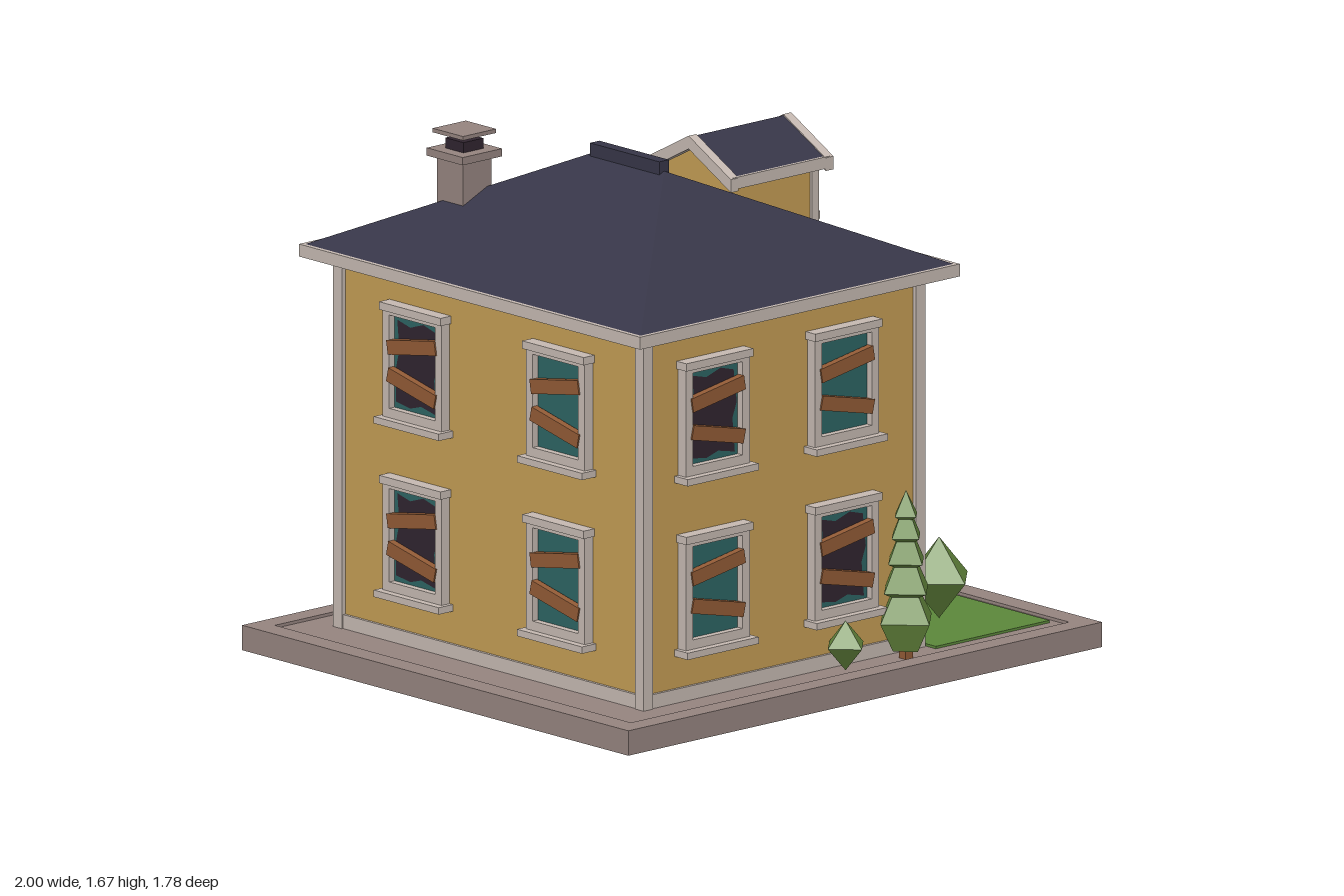
import * as THREE from 'three';
import { ConvexGeometry } from 'three/addons/geometries/ConvexGeometry.js';

const mat = (name, color) => Object.assign(new THREE.MeshStandardMaterial({ color }), { name });
const M = {
  wall: mat('ochreWall', 0xc49d54), trim: mat('paleTrim', 0xc6bab2), roof: mat('slateRoof', 0x373648),
  stone: mat('stone', 0x968580), brick: mat('redBrick', 0x8f413b), glass: mat('tealGlass', 0x2d6463),
  dark: mat('darkInterior', 0x30242f), wood: mat('plankWood', 0x925b36),
  leaf: mat('foliage', 0x678a3f), grass: mat('grass', 0x5c883b),
};

export function createModel() {
  const root = new THREE.Group();
  root.name = 'house';

  const add = (parent, name, geo, material) => {
    const mesh = new THREE.Mesh(geo, material);
    mesh.name = name;
    parent.add(mesh);
    return mesh;
  };
  // Box given by its extents on each axis
  const box = (name, material, x0, x1, y0, y1, z0, z1, parent = root) => {
    const mesh = add(parent, name, new THREE.BoxGeometry(x1 - x0, y1 - y0, z1 - z0), material);
    mesh.position.set((x0 + x1) / 2, (y0 + y1) / 2, (z0 + z1) / 2);
    return mesh;
  };
  const shape = (pts) => new THREE.Shape(pts.map(([x, y]) => new THREE.Vector2(x, y)));
  // Outline drawn across z and y, extruded along x
  const alongX = (name, material, pts, x0, x1) => {
    const geo = new THREE.ExtrudeGeometry(shape(pts), { depth: x1 - x0, bevelEnabled: false });
    geo.rotateY(Math.PI / 2).translate(x0, 0, 0);
    return add(root, name, geo, material);
  };
  const chevron = (h, apex, eave, t) =>
    [[0, apex], [-h, eave], [-h, eave - t], [0, apex - t], [h, eave - t], [h, eave]];
  const sides = [-1, 1];

  // Ground slab with a raised border, lawns
  box('groundSlab', M.stone, -1, 1, 0, 0.07, -0.89, 0.89);
  for (const s of sides) {
    box('slabBorderSide', M.stone, Math.min(s, s * 0.925), Math.max(s, s * 0.925), 0.07, 0.08, -0.89, 0.89);
    box('slabBorderEnd', M.stone, -0.925, 0.925, 0.07, 0.08, s * 0.855 - 0.035, s * 0.855 + 0.035);
    box('lawn', M.grass, 0.42, 0.9, 0.07, 0.078, s * 0.522 - 0.235, s * 0.522 + 0.235);
  }

  // Main walls, plinth and corner boards
  box('walls', M.wall, -0.76, 0.4, 0.07, 1.285, -0.7, 0.7);
  box('plinth', M.trim, -0.77, 0.41, 0.07, 0.115, -0.71, 0.71);
  for (const x of [-0.755, 0.395]) for (const s of sides)
    box('cornerBoard', M.trim, x - 0.02, x + 0.02, 0.07, 1.275, s * 0.695 - 0.02, s * 0.695 + 0.02);

  // Hipped roof with fascia boards and a ridge cap
  const cx = -0.18;
  const hip = [];
  for (const s of sides) {
    for (const y of [1.28, 1.3]) hip.push(new THREE.Vector3(cx - 0.66, y, s * 0.772), new THREE.Vector3(cx + 0.66, y, s * 0.772));
    hip.push(new THREE.Vector3(cx, 1.597, s * 0.16));
  }
  add(root, 'mainRoof', new ConvexGeometry(hip), M.roof);
  box('ridgeCap', M.roof, cx - 0.02, cx + 0.02, 1.56, 1.63, -0.16, 0.16);
  for (const s of sides) {
    box('fasciaLong', M.trim, cx - 0.675, cx + 0.675, 1.26, 1.3, s * 0.774 - 0.012, s * 0.774 + 0.012);
    box('fasciaShort', M.trim, cx + s * 0.663 - 0.012, cx + s * 0.663 + 0.012, 1.26, 1.3, -0.762, 0.762);
  }

  // Chimney
  const slab = (name, m, r, y0, y1) => box(name, m, -0.467 - r, -0.467 + r, y0, y1, -0.447 - r, -0.447 + r);
  slab('chimneyStack', M.stone, 0.06, 1.3, 1.58);
  slab('chimneyCollar', M.stone, 0.083, 1.58, 1.605);
  slab('chimneyFlue', M.dark, 0.042, 1.605, 1.638);
  slab('chimneyCapPost', M.stone, 0.012, 1.638, 1.655);
  slab('chimneyCap', M.stone, 0.07, 1.655, 1.668);

  // Boarded window, built facing +z with its centre on the wall
  const hole = [[-0.095, -0.13], [-0.03, -0.14], [0.02, -0.125], [0.09, -0.14], [0.08, -0.03], [0.098, 0.02],
    [0.085, 0.125], [0.03, 0.14], [-0.03, 0.12], [-0.09, 0.135], [-0.08, 0.04], [-0.098, -0.03]];
  const addWindow = (x, y, z, turn, broken) => {
    const g = new THREE.Group();
    g.name = 'window';
    g.position.set(x, y, z);
    g.rotation.y = turn;
    root.add(g);
    box('glass', M.glass, -0.108, 0.108, -0.155, 0.155, 0, 0.012, g);
    if (broken) add(g, 'brokenHole', new THREE.ShapeGeometry(shape(hole)), M.dark).position.z = 0.015;
    for (const s of sides) box('jamb', M.trim, s * 0.12 - 0.015, s * 0.12 + 0.015, -0.18, 0.165, 0, 0.035, g);
    box('topRail', M.trim, -0.105, 0.105, 0.15, 0.165, 0, 0.035, g);
    box('bottomRail', M.trim, -0.105, 0.105, -0.18, -0.15, 0, 0.035, g);
    box('header', M.trim, -0.142, 0.142, 0.163, 0.188, 0, 0.045, g);
    box('sill', M.trim, -0.15, 0.15, -0.202, -0.18, 0, 0.06, g);
    for (const s of sides) {
      const plank = box('plank', M.wood, -0.112, 0.112, -0.023, 0.023, 0.016, 0.04, g);
      plank.position.y = s * 0.065;
      plank.rotation.z = s > 0 ? 0.17 : -0.22;
    }
    return g;
  };
  const up = 0.978, low = 0.42, q = Math.PI / 2;
  addWindow(-0.48, up, 0.7, 0, true);
  addWindow(0.065, up, 0.7, 0, false);
  addWindow(-0.48, low, 0.7, 0, false);
  addWindow(0.065, low, 0.7, 0, true);
  for (const x of [-0.48, 0.065]) {
    addWindow(x, up, -0.7, 2 * q, false);
    addWindow(x, low, -0.7, 2 * q, x < 0);
  }
  for (const s of sides) for (const y of [up, low]) {
    addWindow(-0.76, y, s * 0.33, -q, s < 0);
    const w = addWindow(0.4, y, s * 0.387, q, (s > 0) === (y === up));
    for (const k of sides) box('shutter', M.roof, k * 0.178 - 0.045, k * 0.178 + 0.045, -0.165, 0.16, 0, 0.022, w);
    // Row of small plants below the upper windows
    if (y === up) for (let i = -2; i <= 2; i++)
      add(w, 'sillPlant', new THREE.OctahedronGeometry(0.024), M.leaf).position.set(i * 0.041, -0.192, 0.062);
  }

  // Dormer: body, gabled roof, posts and window
  alongX('dormerBody', M.wall, [[-0.145, 1.27], [0.145, 1.27], [0.145, 1.525], [0, 1.6], [-0.145, 1.525]], 0.12, 0.468);
  alongX('dormerRoof', M.roof, chevron(0.185, 1.632, 1.534, 0.03), 0.08, 0.49);
  for (const x of [0.07, 0.47]) alongX('dormerRake', M.trim, chevron(0.195, 1.636, 1.532, 0.042), x, x + 0.033);
  for (const s of sides) {
    box('dormerEave', M.trim, 0.08, 0.49, 1.497, 1.535, s * 0.186 - 0.008, s * 0.186 + 0.008);
    box('dormerPost', M.trim, 0.45, 0.48, 1.3, 1.52, s * 0.14 - 0.014, s * 0.14 + 0.014);
    box('dormerJamb', M.trim, 0.46, 0.49, 1.335, 1.52, s * 0.083 - 0.015, s * 0.083 + 0.015);
  }
  box('dormerPane', M.dark, 0.46, 0.473, 1.33, 1.49, -0.07, 0.07);
  box('dormerHeader', M.trim, 0.46, 0.49, 1.488, 1.52, -0.07, 0.07);
  box('dormerSill', M.trim, 0.46, 0.523, 1.312, 1.337, -0.112, 0.112);
  box('dormerBase', M.trim, 0.46, 0.5, 1.297, 1.312, -0.15, 0.15);

  // Porch floor and steps
  box('porchFloor', M.brick, 0.4, 0.75, 0.07, 0.13, -0.225, 0.225);
  box('middleStep', M.brick, 0.75, 0.817, 0.07, 0.105, -0.192, 0.192);
  box('lowerStep', M.brick, 0.817, 0.892, 0.07, 0.084, -0.192, 0.192);

  // Porch roof with a clapboard gable
  alongX('porchRoof', M.roof, chevron(0.295, 0.84, 0.69, 0.03), 0.4, 0.72);
  alongX('porchRake', M.trim, chevron(0.305, 0.844, 0.687, 0.04), 0.7, 0.74);
  alongX('porchGable', M.wall, [[-0.25, 0.655], [0.25, 0.655], [0.25, 0.683], [0, 0.815], [-0.25, 0.683]], 0.66, 0.68);
  [0.66, 0.695, 0.73, 0.765].forEach((y, i) => {
    const h = 0.225 - i * 0.058;
    box('clapboard', M.wall, 0.68, 0.687, y, y + 0.03, -h, h);
  });
  for (const s of sides) {
    const z = s * 0.215;
    box('porchEave', M.trim, 0.4, 0.72, 0.65, 0.69, s * 0.297 - 0.008, s * 0.297 + 0.008);
    box('porchBeam', M.trim, 0.4, 0.69, 0.64, 0.665, z - 0.018, z + 0.018);
    for (const x of [0.452, 0.668]) box('porchPost', M.trim, x - 0.018, x + 0.018, 0.13, 0.65, z - 0.018, z + 0.018);
    box('handRail', M.trim, 0.46, 0.66, 0.308, 0.325, z - 0.013, z + 0.013);
    box('footRail', M.trim, 0.46, 0.66, 0.165, 0.18, z - 0.01, z + 0.01);
    for (let i = 1; i <= 4; i++) {
      const x = 0.47 + i * 0.036;
      box('baluster', M.trim, x - 0.006, x + 0.006, 0.18, 0.308, z - 0.006, z + 0.006);
    }
    // Door frame, door panes and wall lamps
    box('doorJamb', M.trim, 0.4, 0.432, 0.13, 0.59, s * 0.134 - 0.015, s * 0.134 + 0.015);
    const p = s * 0.052;
    box('doorPaneFrame', M.wood, 0.41, 0.424, 0.472, 0.543, p - 0.037, p + 0.037);
    box('doorPane', M.glass, 0.42, 0.428, 0.483, 0.532, p - 0.025, p + 0.025);
    box('lampArm', M.dark, 0.4, 0.49, 0.528, 0.541, s * 0.172 - 0.022, s * 0.172 + 0.022);
    box('lampGlow', M.wood, 0.455, 0.475, 0.47, 0.528, s * 0.172 - 0.01, s * 0.172 + 0.01);
  }
  box('door', M.dark, 0.4, 0.418, 0.13, 0.586, -0.12, 0.12);
  box('doorHeader', M.trim, 0.4, 0.442, 0.584, 0.615, -0.153, 0.153);
  box('doorHandle', M.wood, 0.418, 0.436, 0.31, 0.365, 0.072, 0.084);
  for (const y of [0.22, 0.36, 0.55]) box('doorHinge', M.wood, 0.418, 0.424, y - 0.017, y + 0.017, -0.12, -0.108);

  // Parcel and book left by the entrance
  box('parcel', M.wood, 0.7, 0.77, 0.095, 0.185, 0.17, 0.237);
  box('book', M.glass, 0.67, 0.73, 0.13, 0.155, 0.075, 0.15);

  // Four-sided faceted plants from a profile of [radius, height]
  const plant = (name, pts, x, z) => {
    const geo = new THREE.LatheGeometry(pts.map(([r, y]) => new THREE.Vector2(r, y)), 4).toNonIndexed();
    geo.computeVertexNormals();
    add(root, name, geo, M.leaf).position.set(x, 0, z);
  };
  const tree = [[0, 0.1], [0.055, 0.1], [0.108, 0.195], [0.06, 0.275], [0.093, 0.29], [0.05, 0.37], [0.075, 0.382],
    [0.04, 0.45], [0.06, 0.462], [0.03, 0.52], [0.047, 0.53], [0, 0.61]];
  for (const s of sides) {
    plant('tieredTree', tree, 0.275, s * 0.778);
    box('treeTrunk', M.wood, 0.26, 0.29, 0.07, 0.12, s * 0.778 - 0.015, s * 0.778 + 0.015);
    plant('smallBush', [[0, 0.075], [0.075, 0.155], [0, 0.235]], 0.02, s * 0.778);
    plant('largeBush', [[0, 0.08], [0.12, 0.21], [0, 0.342]], 0.66, s * 0.51);
  }
  return root;
}
